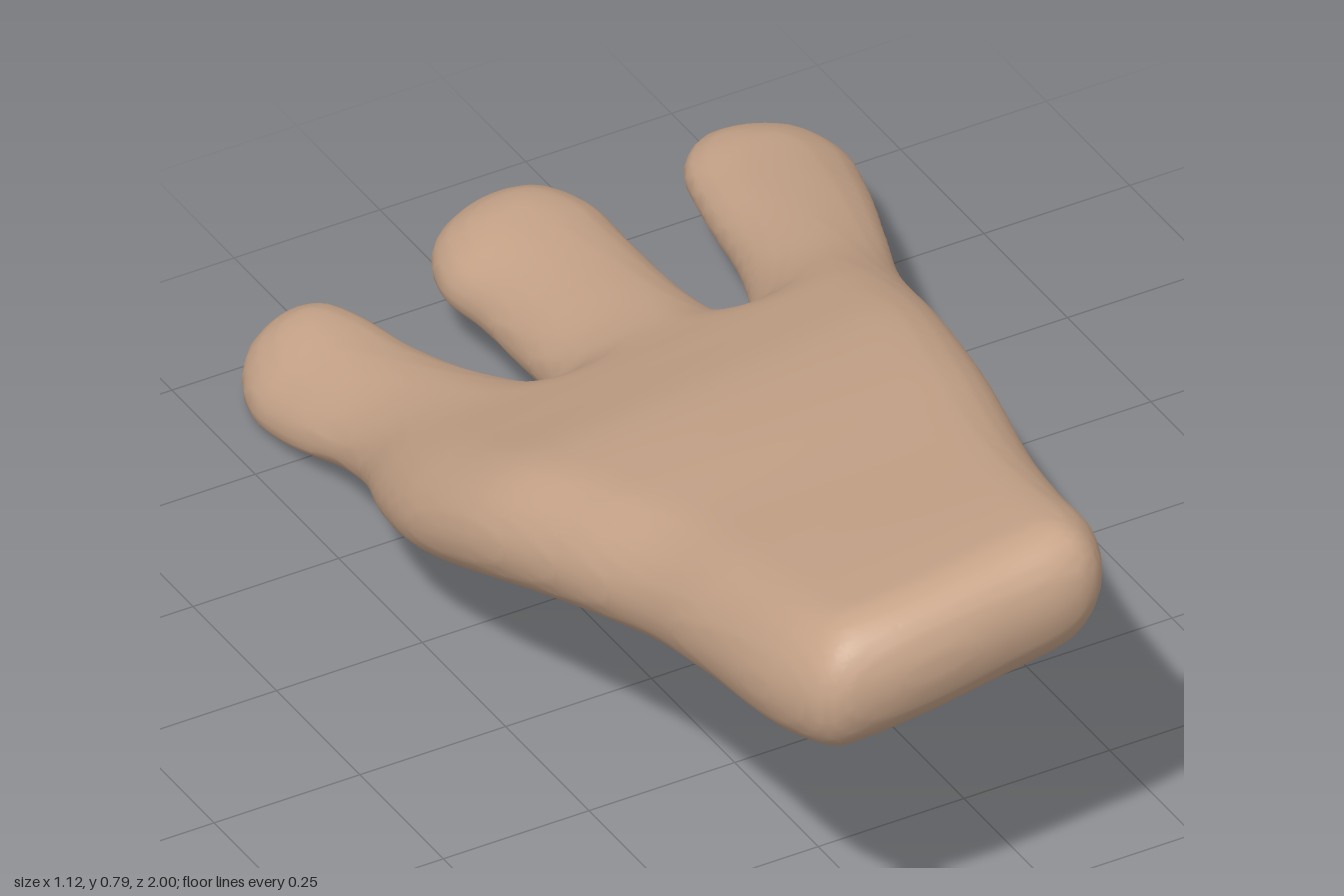
import * as THREE from 'three';

const skin = new THREE.MeshStandardMaterial({ color: 0xc8a58a });
skin.name = 'skin';

// Plan outline of wrist, palm and three fingers as [x, z]
const outline = [
  [-0.5, 0.97], [-0.535, 0.87], [-0.525, 0.6], [-0.515, 0.42], [-0.535, 0.22], [-0.562, -0.03],
  [-0.55, -0.22], [-0.51, -0.37], [-0.46, -0.5], [-0.442, -0.61], [-0.452, -0.76], [-0.447, -0.87],
  [-0.4, -0.955], [-0.33, -0.98], [-0.27, -0.95], [-0.243, -0.87], [-0.233, -0.71], [-0.21, -0.53],
  [-0.18, -0.415], [-0.152, -0.47], [-0.133, -0.6], [-0.117, -0.76], [-0.117, -0.87], [-0.075, -0.96],
  [0.02, -1], [0.11, -0.97], [0.15, -0.87], [0.14, -0.74], [0.114, -0.5], [0.115, -0.37],
  [0.17, -0.44], [0.23, -0.58], [0.285, -0.79], [0.325, -0.91], [0.385, -0.963], [0.46, -0.965],
  [0.535, -0.92], [0.56, -0.83], [0.518, -0.69], [0.425, -0.47], [0.335, -0.26], [0.265, -0.02],
  [0.175, 0.29], [0.08, 0.58], [0.03, 0.77], [0, 0.91], [-0.05, 0.98], [-0.2, 0.997], [-0.42, 0.997],
];
const edge = new THREE.CatmullRomCurve3(
  outline.map(([x, z]) => new THREE.Vector3(x, 0, z)), true).getPoints(260);

// Mid-surface heights at x = -0.35, 0, 0.4, every 0.2 from z = 1 to z = -1
const heights = new THREE.CatmullRomCurve3([
  [0.66, 0.71, 0.775], [0.61, 0.66, 0.72], [0.555, 0.6, 0.655], [0.495, 0.54, 0.59],
  [0.44, 0.48, 0.525], [0.375, 0.41, 0.455], [0.29, 0.33, 0.375], [0.205, 0.25, 0.29],
  [0.133, 0.2, 0.225], [0.083, 0.165, 0.178], [0.063, 0.142, 0.155],
].map(h => new THREE.Vector3(...h)), false, 'catmullrom');

// Half thickness and width of the rounded rim at the same stations
const padding = new THREE.SplineCurve([
  [0.12, 0.1], [0.115, 0.11], [0.11, 0.12], [0.108, 0.13], [0.108, 0.13], [0.11, 0.13],
  [0.1, 0.13], [0.086, 0.12], [0.078, 0.12], [0.072, 0.12], [0.066, 0.12],
].map(p => new THREE.Vector2(...p)));

const station = z => THREE.MathUtils.clamp((1 - z) / 2, 0, 1);

function midHeight(x, z) {
  const h = heights.getPoint(station(z));
  return h.x * x * (x - 0.4) / 0.2625 - h.y * (x + 0.35) * (x - 0.4) / 0.14
    + h.z * x * (x + 0.35) / 0.3;
}

// Signed distance to the outline, negative inside
function outlineDistance(x, z) {
  let best = Infinity, inside = false;
  for (let i = 1; i < edge.length; i++) {
    const a = edge[i - 1], b = edge[i];
    const ex = b.x - a.x, ez = b.z - a.z, px = x - a.x, pz = z - a.z;
    const t = THREE.MathUtils.clamp((px * ex + pz * ez) / (ex * ex + ez * ez || 1), 0, 1);
    best = Math.min(best, Math.hypot(px - t * ex, pz - t * ez));
    if ((a.z > z) !== (b.z > z) && x < a.x + (z - a.z) / ez * ex) inside = !inside;
  }
  return inside ? -best : best;
}

// Padded slab with an elliptical rim, meshed on a grid that follows the mid-surface
function paddedHandGeometry() {
  const step = 0.016, min = [-0.616, -0.152, -1.048], n = [76, 20, 132];
  const at = (i, j, k) => (k * n[1] + j) * n[0] + i;
  const field = new Float32Array(n[0] * n[1] * n[2]);
  for (let k = 0; k < n[2]; k++) for (let i = 0; i < n[0]; i++) {
    const x = min[0] + i * step, z = min[2] + k * step;
    const pad = padding.getPoint(station(z)), rim = pad.y;
    // The finger on the left is slimmer
    const h = pad.x - 0.012 * THREE.MathUtils.smoothstep(x, 0.2, 0.4);
    const a = Math.max(outlineDistance(x, z) + rim, 0) / rim;
    for (let j = 0; j < n[1]; j++) {
      field[at(i, j, k)] = h * (Math.hypot(a, (min[1] + j * step) / h) - 1);
    }
  }

  // One vertex per crossed cell, at the mean of its edge crossings
  const positions = [], index = [], cellVertex = new Int32Array(field.length).fill(-1);
  const stride = [1, n[0], n[0] * n[1]];
  for (let k = 0; k < n[2] - 1; k++) for (let j = 0; j < n[1] - 1; j++) for (let i = 0; i < n[0] - 1; i++) {
    const sum = [0, 0, 0], base = at(i, j, k);
    let count = 0;
    for (let c = 0; c < 8; c++) for (let a = 0; a < 3; a++) {
      if (c >> a & 1) continue;
      const corner = [c & 1, c >> 1 & 1, c >> 2 & 1];
      const p = base + corner[0] + corner[1] * stride[1] + corner[2] * stride[2];
      const f0 = field[p], f1 = field[p + stride[a]];
      if ((f0 < 0) === (f1 < 0)) continue;
      corner[a] += f0 / (f0 - f1);
      for (let m = 0; m < 3; m++) sum[m] += corner[m];
      count++;
    }
    if (!count) continue;
    const [x, v, z] = [i, j, k].map((g, m) => min[m] + (g + sum[m] / count) * step);
    cellVertex[base] = positions.length / 3;
    positions.push(x, midHeight(x, z) + v, z);
  }

  // One quad around each crossed grid edge
  for (let k = 1; k < n[2] - 1; k++) for (let j = 1; j < n[1] - 1; j++) for (let i = 1; i < n[0] - 1; i++) {
    const p = at(i, j, k);
    for (let a = 0; a < 3; a++) {
      const inside = field[p] < 0;
      if (inside === (field[p + stride[a]] < 0)) continue;
      const b = stride[(a + 1) % 3], c = stride[(a + 2) % 3];
      const q = [p, p - b, p - b - c, p - c].map(s => cellVertex[s]);
      if (!inside) q.reverse();
      index.push(q[0], q[1], q[2], q[0], q[2], q[3]);
    }
  }

  const geometry = new THREE.BufferGeometry();
  geometry.setAttribute('position', new THREE.Float32BufferAttribute(positions, 3));
  geometry.setIndex(index);
  geometry.computeBoundingBox();
  geometry.translate(0, -geometry.boundingBox.min.y, 0);
  geometry.computeVertexNormals();
  return geometry;
}

export function createModel() {
  const group = new THREE.Group();
  group.name = 'threeFingeredHand';
  const hand = new THREE.Mesh(paddedHandGeometry(), skin);
  hand.name = 'palmAndFingers';
  group.add(hand);
  return group;
}
